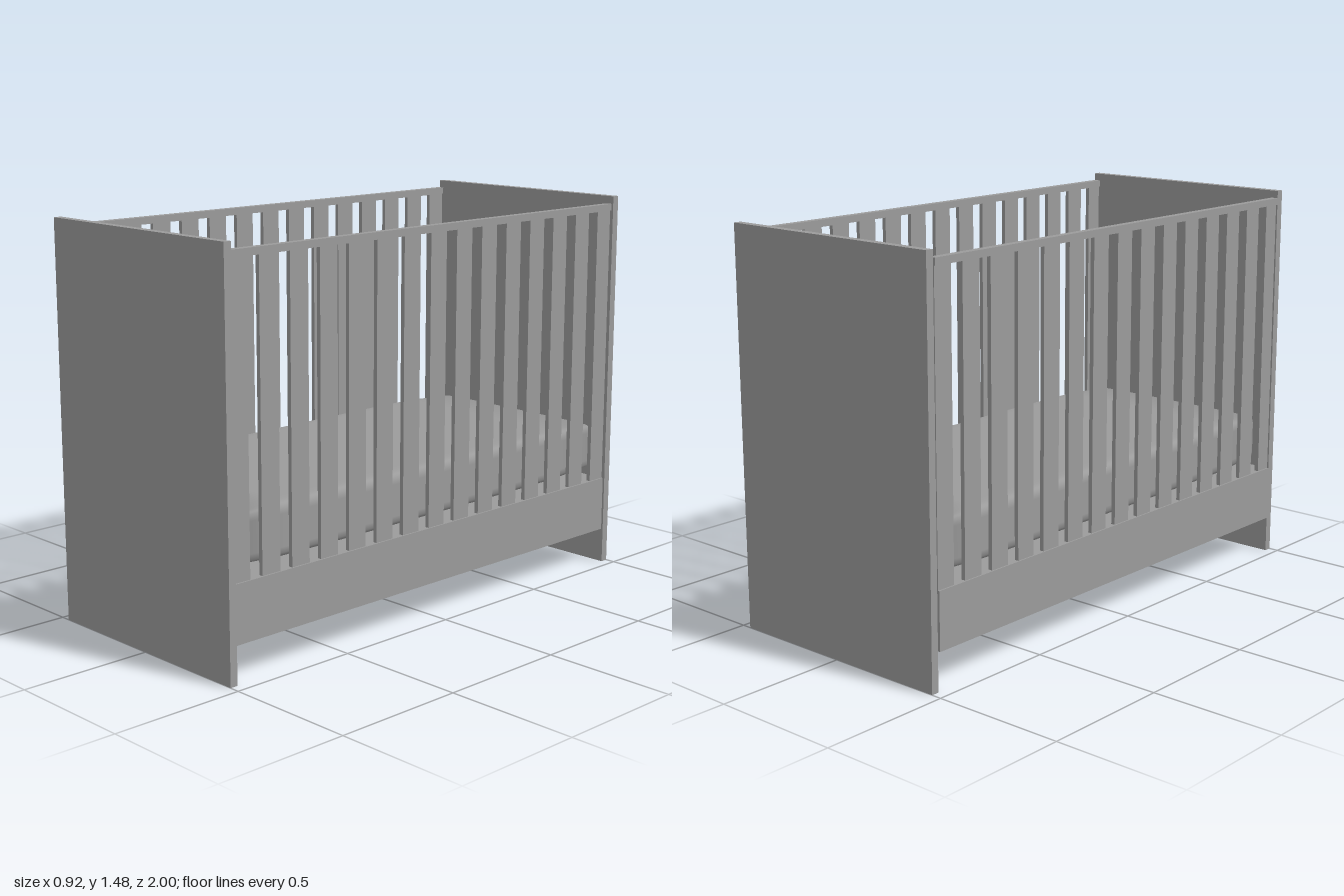
import * as THREE from 'three';

const material = new THREE.MeshStandardMaterial({ color: 0x9b9b9b });

// Box given by its min and max corners
function addBox(parent, name, [x0, y0, z0], [x1, y1, z1]) {
  const mesh = new THREE.Mesh(new THREE.BoxGeometry(x1 - x0, y1 - y0, z1 - z0), material);
  mesh.position.set((x0 + x1) / 2, (y0 + y1) / 2, (z0 + z1) / 2);
  mesh.name = name;
  parent.add(mesh);
}

// Soft cushion: a box with rounded edges and smooth normals that sinks towards its ends
function cushionGeometry(hx, hy, hz, radius) {
  const geometry = new THREE.BoxGeometry(2, 2, 2, 16, 10, 8);
  const { position, normal } = geometry.attributes;
  const half = new THREE.Vector3(hx, hy, hz);
  const inner = half.clone().subScalar(radius);
  const outerMin = inner.clone().negate();
  const p = new THREE.Vector3();
  const core = new THREE.Vector3();
  const ease = (t) => Math.sin((t * Math.PI) / 2); // crowds rows near the edges
  for (let i = 0; i < position.count; i++) {
    p.fromBufferAttribute(position, i);
    p.set(ease(p.x), ease(p.y), p.z).multiply(half);
    core.copy(p).clamp(outerMin, inner);
    p.sub(core).normalize();
    normal.setXYZ(i, p.x, p.y, p.z);
    p.multiplyScalar(radius).add(core);
    const endness = Math.abs(p.z / hz);
    const sideness = Math.abs(p.x / hx);
    p.x *= 1 - 0.025 * endness ** 4;
    p.y *= 1 - 0.06 * endness ** 6 - 0.03 * sideness ** 6;
    p.z *= 1 - 0.006 * sideness ** 4;
    position.setXYZ(i, p.x, p.y, p.z);
  }
  return geometry;
}

export function createModel() {
  const crib = new THREE.Group();
  crib.name = 'crib';

  // Solid end panels, reaching the floor
  addBox(crib, 'frontPanel', [-0.462, 0, 0.97], [0.462, 1.484, 1]);
  addBox(crib, 'backPanel', [-0.462, 0, -1], [0.462, 1.484, -0.97]);

  // Base between the panels
  addBox(crib, 'base', [-0.462, 0.14, -0.96], [0.462, 0.353, 0.97]);

  // Slatted sides, with the slats set back from the rail and base
  for (const side of [1, -1]) {
    const sideGroup = new THREE.Group();
    sideGroup.name = side > 0 ? 'leftSide' : 'rightSide';
    const cx = side * 0.448;
    addBox(sideGroup, 'topRail', [cx - 0.014, 1.43, -0.96], [cx + 0.014, 1.456, 0.97]);
    for (let i = 0; i < 15; i++) {
      const z = 0.943 - i * 0.1333;
      const back = Math.max(z - 0.04, -0.96);
      const front = Math.min(z + 0.04, 0.97);
      addBox(sideGroup, 'slat', [cx - 0.008, 0.353, back], [cx + 0.008, 1.43, front]);
    }
    crib.add(sideGroup);
  }

  // Mattress
  const mattress = new THREE.Mesh(cushionGeometry(0.42, 0.104, 0.958, 0.035), material);
  mattress.position.set(0, 0.476, -0.002);
  mattress.name = 'mattress';
  crib.add(mattress);

  return crib;
}
